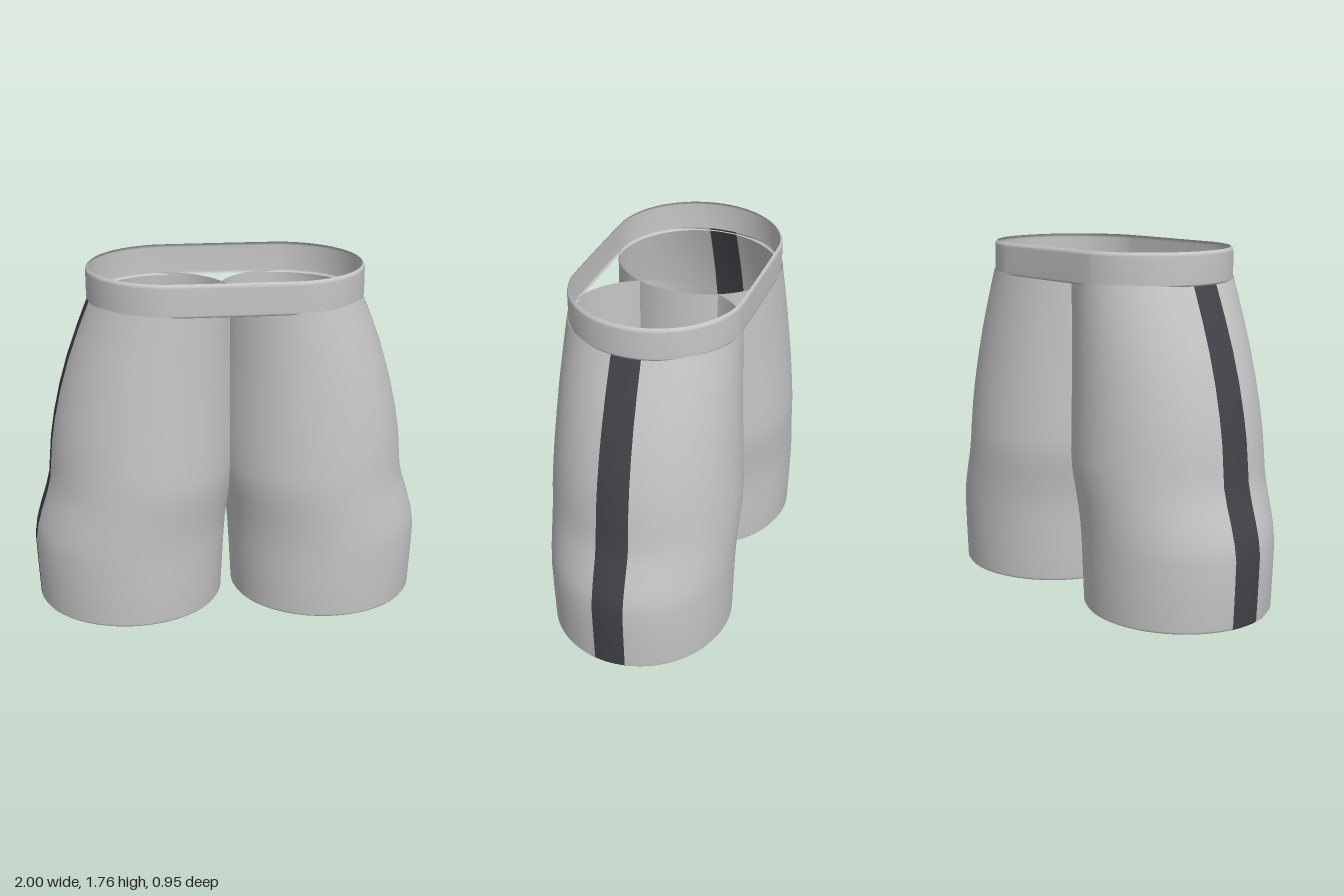
import * as THREE from 'three';

const fabric = new THREE.MeshStandardMaterial({ name: 'light grey fabric', color: 0xc6c6c6, side: THREE.DoubleSide });
const trim = new THREE.MeshStandardMaterial({ name: 'dark stripe', color: 0x434248, side: THREE.DoubleSide });

// Leg cross-sections from hem to top: height, outer x, inner x, half depth
const LEG = [
  [0, 0.978, 0.038, 0.446],
  [0.012, 0.986, 0.03, 0.454],
  [0.2, 0.995, 0.02, 0.459],
  [0.34, 1.0, 0.012, 0.462],
  [0.42, 0.988, 0.006, 0.464],
  [0.5, 0.966, -0.005, 0.466],
  [0.6, 0.934, -0.025, 0.47],
  [0.68, 0.914, -0.04, 0.474],
  [0.76, 0.907, -0.048, 0.473],
  [0.88, 0.896, -0.05, 0.466],
  [1.0, 0.876, -0.05, 0.459],
  [1.15, 0.842, -0.05, 0.449],
  [1.3, 0.798, -0.048, 0.44],
  [1.45, 0.744, -0.047, 0.43],
  [1.61, 0.68, -0.045, 0.42],
];

// Band profile: height and inset from the widest outline
const BAND = [[1.597, 0.012], [1.6, 0.003], [1.61, 0], [1.74, 0], [1.752, 0.003], [1.76, 0.012]];

// Open sheet: each row of a unit cylinder is moved onto its cross-section
function sheet(rows, segments, start, length, place) {
  const last = rows.length - 1;
  const geometry = new THREE.CylinderGeometry(1, 1, 1, segments, last, true, start, length);
  const pos = geometry.attributes.position;
  const normals = geometry.attributes.normal;
  for (let i = 0; i < pos.count; i++) {
    const row = rows[Math.round((pos.getY(i) + 0.5) * last)];
    pos.setXYZ(i, ...place(row, pos.getX(i), pos.getZ(i)));
  }
  geometry.computeVertexNormals();
  // Share normals where a full loop meets itself
  if (length > 6.28) {
    const n = segments + 1;
    for (let r = 0; r <= last; r++) {
      const a = r * n, b = a + segments;
      const v = new THREE.Vector3().fromBufferAttribute(normals, a)
        .add(new THREE.Vector3().fromBufferAttribute(normals, b)).normalize();
      normals.setXYZ(a, v.x, v.y, v.z);
      normals.setXYZ(b, v.x, v.y, v.z);
    }
  }
  return geometry;
}

function part(name, geometry, material) {
  const mesh = new THREE.Mesh(geometry, material);
  mesh.name = name;
  return mesh;
}

// One leg: a grey tube with a stripe let into its outer side
function makeLeg(name, side) {
  const place = ([y, outer, inner, depth], x, z) =>
    [side * (outer + inner) / 2 + x * (outer - inner) / 2, y, z * depth];
  const half = THREE.MathUtils.degToRad(10);
  const centre = side * Math.PI / 2;
  const leg = new THREE.Group();
  leg.name = name;
  leg.add(
    part('legFabric', sheet(LEG, 80, centre + half, 2 * Math.PI - 2 * half, place), fabric),
    part('sideStripe', sheet(LEG, 6, centre - half, 2 * half, place), trim),
  );
  return leg;
}

// Waistband: a ring with straight front and back and round ends
function makeWaistband() {
  const place = ([y, inset], x, z) => {
    const straight = 0.27 * THREE.MathUtils.clamp(x * 12, -1, 1);
    return [straight + x * (0.42 - inset), y, z * (0.424 - inset)];
  };
  return part('waistband', sheet(BAND, 96, 0, 2 * Math.PI, place), fabric);
}

export function createModel() {
  const model = new THREE.Group();
  model.name = 'shorts';
  model.add(makeLeg('leftLeg', 1), makeLeg('rightLeg', -1), makeWaistband());
  return model;
}
